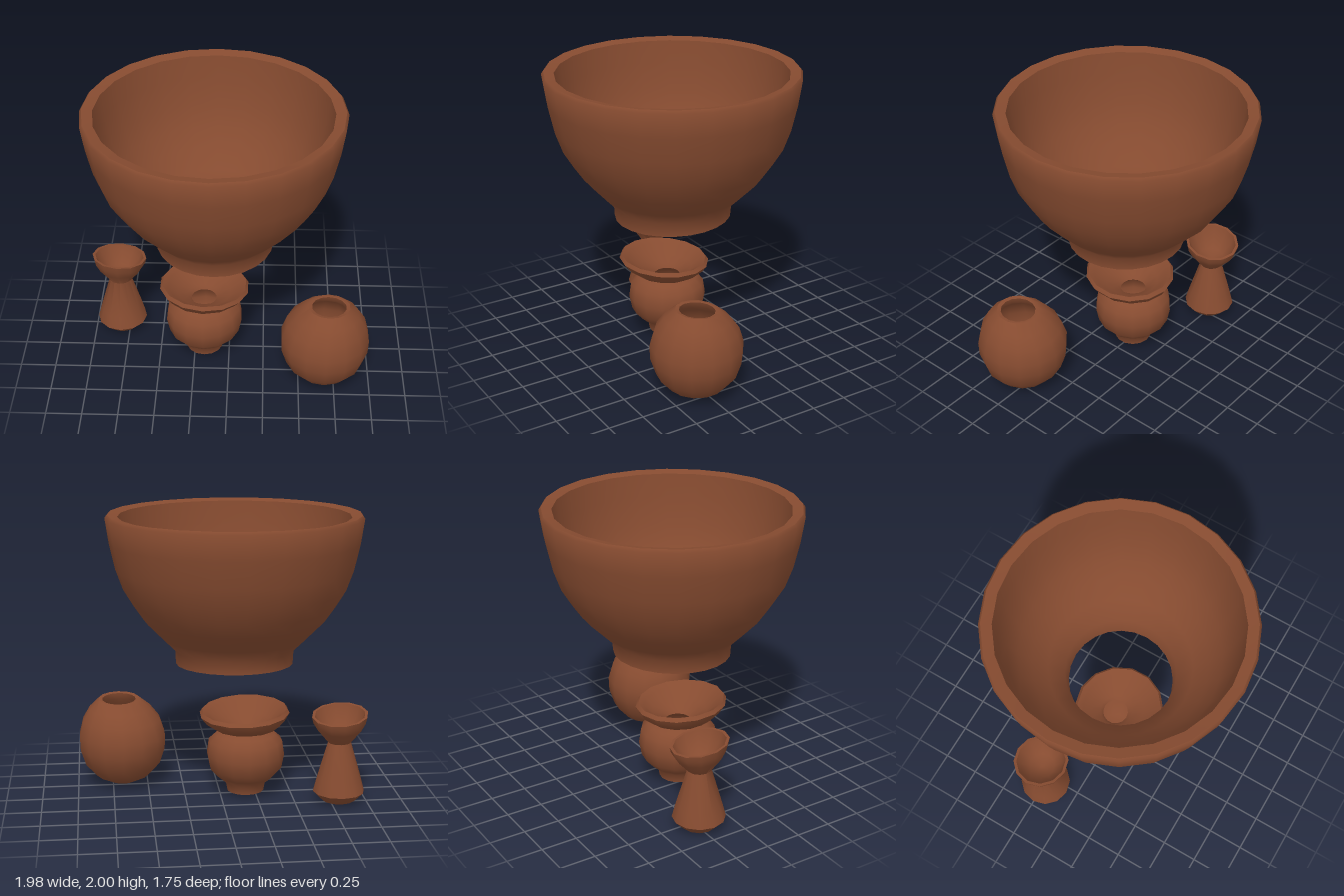
import * as THREE from 'three';
import { toCreasedNormals } from 'three/addons/utils/BufferGeometryUtils.js';

const clay = new THREE.MeshStandardMaterial({ color: 0x864b30 });
clay.name = 'terracotta';

// Turned vessel: profile of [radius, y] up the outside and down the inside.
// Above or below the bend height the rings lean by the given slopes, as hand-thrown clay does.
function vessel(name, profile, sides, [x, z], lean) {
  const points = profile.map(([r, y]) => new THREE.Vector2(r, y));
  const geo = new THREE.LatheGeometry(points, sides);
  const p = geo.attributes.position;
  for (let i = 0; i < p.count; i++) {
    const px = p.getX(i), py = p.getY(i), pz = p.getZ(i);
    const t = THREE.MathUtils.clamp((py - lean.from) / (lean.to - lean.from), 0, 1);
    p.setXYZ(i,
      px + t * (lean.dx || 0),
      py + t * ((lean.sx || 0) * px + (lean.sz || 0) * pz),
      pz + t * (lean.dz || 0));
  }
  const mesh = new THREE.Mesh(toCreasedNormals(geo, 0.9), clay);
  mesh.name = name;
  mesh.position.set(x, 0, z);
  return mesh;
}

export function createModel() {
  const group = new THREE.Group();
  group.name = 'potterySet';

  // Large bowl with a hollow foot, open right through
  group.add(vessel('largeBowl', [
    [0.36, 0.97], [0.405, 0.965], [0.41, 1.06], [0.50, 1.15], [0.625, 1.28],
    [0.69, 1.375], [0.76, 1.49], [0.81, 1.63], [0.85, 1.81], [0.875, 1.98],
    [0.86, 2.0], [0.79, 1.985], [0.77, 1.83], [0.73, 1.64], [0.67, 1.48],
    [0.59, 1.36], [0.49, 1.23], [0.38, 1.12], [0.36, 0.97],
  ], 24, [-0.1, 0], { from: 1.25, to: 0.96, sz: -0.03 }));

  // Small pot with a wide flared dish for a mouth
  group.add(vessel('flaredPot', [
    [0, 0.01], [0.08, 0.015], [0.13, 0.03], [0.14, 0.09], [0.20, 0.14],
    [0.255, 0.2], [0.275, 0.3], [0.26, 0.4], [0.21, 0.445], [0.15, 0.475],
    [0.22, 0.49], [0.28, 0.535], [0.318, 0.59], [0.30, 0.615], [0.26, 0.59],
    [0.19, 0.53], [0.115, 0.49], [0.09, 0.46], [0.14, 0.42], [0.22, 0.36],
    [0.235, 0.28], [0.2, 0.18], [0.1, 0.09], [0, 0.08],
  ], 14, [-0.18, 0], { from: 0.46, to: 0.6, sx: -0.04, sz: 0.06, dx: 0.005, dz: 0.03 }));

  // Goblet with a lopsided cup on a conical stem
  group.add(vessel('goblet', [
    [0, 0.005], [0.115, 0.02], [0.18, 0.085], [0.155, 0.18], [0.08, 0.44],
    [0.155, 0.535], [0.185, 0.59], [0.195, 0.635], [0.175, 0.635],
    [0.15, 0.575], [0.09, 0.5], [0, 0.47],
  ], 12, [-0.805, -0.24], { from: 0.42, to: 0.63, sx: -0.08, sz: 0.15 }));

  // Round pot with a small mouth
  group.add(vessel('roundPot', [
    [0, 0.015], [0.09, 0.025], [0.19, 0.075], [0.27, 0.165], [0.308, 0.28],
    [0.312, 0.38], [0.28, 0.49], [0.22, 0.575], [0.145, 0.64], [0.12, 0.635],
    [0.13, 0.59], [0.2, 0.53], [0.26, 0.4], [0.25, 0.25], [0.16, 0.12], [0, 0.07],
  ], 14, [0.678, 0.295], { from: 0.45, to: 0.64, sz: 0.07, dx: 0.02, dz: 0.01 }));

  return group;
}
